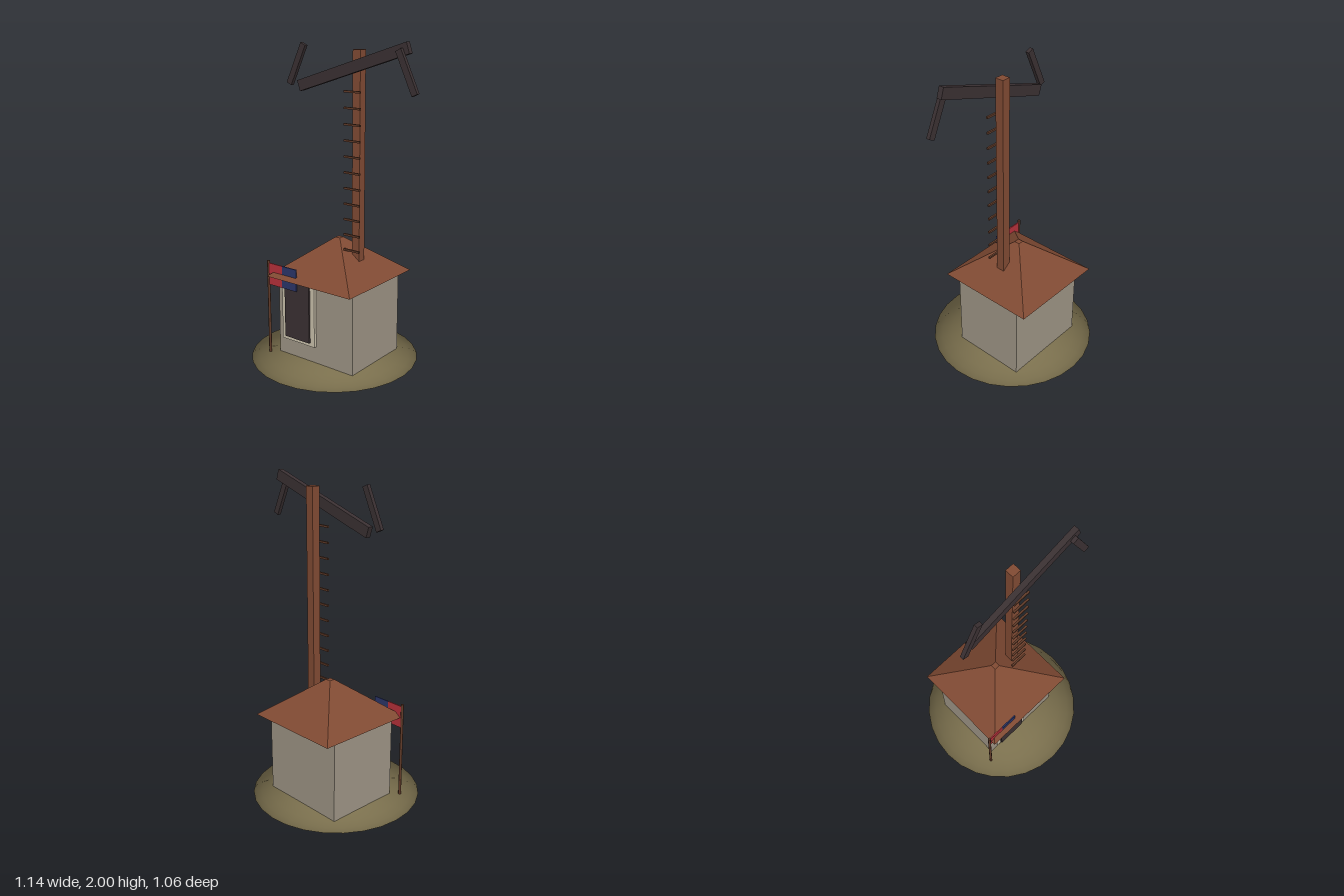
import * as THREE from 'three';

const mat = (name, color, extra = {}) => {
  const m = new THREE.MeshStandardMaterial({ color, ...extra });
  m.name = name;
  return m;
};

export function createModel() {
  const model = new THREE.Group();
  model.name = 'signalStation';

  const earth = mat('earth', 0x7a6f4d);
  const wall = mat('wallStone', 0x9c9384);
  const brown = mat('redBrownWood', 0x804a33, { flatShading: true });
  const darkBrown = mat('darkBrownWood', 0x5f3a28);
  const trim = mat('paleTrim', 0xc8bfaa);
  const black = mat('blackenedWood', 0x3a3032);
  const red = mat('flagRed', 0xb5303a);
  const blue = mat('flagBlue', 0x2b3568);

  const add = (name, geometry, material, x, y, z, parent = model) => {
    const mesh = new THREE.Mesh(geometry, material);
    mesh.name = name;
    mesh.position.set(x, y, z);
    parent.add(mesh);
    return mesh;
  };
  // Box given by its extents on each axis
  const span = (name, material, [x0, x1], [y0, y1], [z0, z1], parent) =>
    add(name, new THREE.BoxGeometry(x1 - x0, y1 - y0, z1 - z0), material,
      (x0 + x1) / 2, (y0 + y1) / 2, (z0 + z1) / 2, parent);

  // Ground: a ball pressed flat, keeping its round shading
  const ground = new THREE.SphereGeometry(0.531, 28, 14);
  const p = ground.attributes.position;
  for (let i = 0; i < p.count; i++) p.setY(i, p.getY(i) * 0.0113);
  add('ground', ground, earth, -0.042, 0.006, 0);

  // Hut with a hipped roof
  span('hutWalls', wall, [-0.333, 0.248], [0.001, 0.54], [-0.29, 0.197]);
  const roof = new THREE.CylinderGeometry(0.018 * Math.SQRT2, 0.325 * Math.SQRT2, 0.24, 4);
  roof.rotateY(Math.PI / 4);
  add('roof', roof, brown, -0.042, 0.657, -0.051);

  // Doorway on the front wall
  span('doorFrame', trim, [-0.291, -0.032], [0.122, 0.56], [0.19, 0.216]);
  span('door', black, [-0.26, -0.065], [0.146, 0.55], [0.2, 0.228]);

  // Mast and ladder rungs
  span('mast', brown, [0.076, 0.131], [0.655, 1.937], [-0.079, -0.025]);
  const ladder = new THREE.Group();
  ladder.name = 'ladder';
  model.add(ladder);
  const rung = new THREE.BoxGeometry(0.116, 0.012, 0.012);
  for (let i = 0; i < 11; i++) add('rung', rung, darkBrown, 0.103, 0.73 + i * 0.0968, 0.014, ladder);

  // Signal beam with an indicator arm near each end
  const signal = new THREE.Group();
  signal.name = 'signalArms';
  model.add(signal);
  const arm = (name, length, width, depth, x, y, z, degrees) => {
    const mesh = add(name, new THREE.BoxGeometry(length, width, depth), black, x, y, z, signal);
    mesh.rotation.z = THREE.MathUtils.degToRad(degrees);
  };
  arm('signalBeam', 0.818, 0.067, 0.033, 0.103, 1.837, 0.021, 18);
  arm('rightIndicator', 0.265, 0.039, 0.024, -0.287, 1.842, 0.047, 65);
  arm('leftIndicator', 0.265, 0.039, 0.024, 0.498, 1.832, 0.047, -65);

  // Flag on its pole
  add('flagPole', new THREE.CylinderGeometry(0.009, 0.009, 0.63, 8), darkBrown, -0.38, 0.315, 0.24);
  span('flagRedHalf', red, [-0.378, -0.265], [0.473, 0.615], [0.236, 0.244]);
  span('flagBlueHalf', blue, [-0.265, -0.151], [0.473, 0.615], [0.236, 0.244]);

  return model;
}
